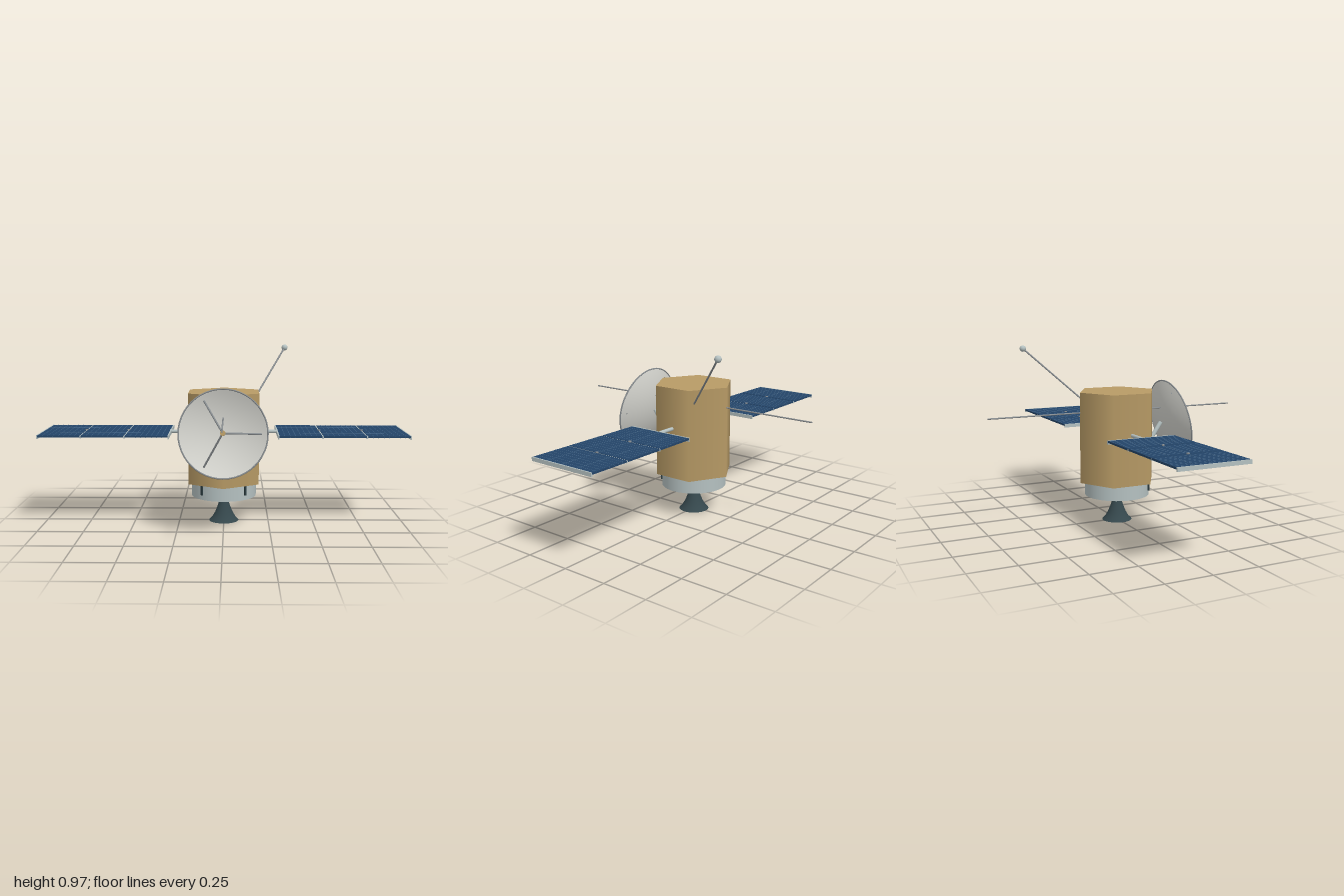
import * as THREE from 'three';

const mat = (color, extra = {}) => new THREE.MeshStandardMaterial({ color, ...extra });
const GOLD = mat(0xb89b66);
const SILVER = mat(0xb4c0c0);
const GREY = mat(0x8a8f92);
const DISH = mat(0xd2d2cc, { side: THREE.DoubleSide });
const DARK = mat(0x35474c, { side: THREE.DoubleSide });
const SLOT = mat(0x2a3a3e);
const BLUE = mat(0x234468);
const LINE = mat(0x46688a);

function add(parent, name, geometry, material, x = 0, y = 0, z = 0) {
  const mesh = new THREE.Mesh(geometry, material);
  mesh.name = name;
  mesh.position.set(x, y, z);
  parent.add(mesh);
  return mesh;
}

// Round bar between two points
function rod(parent, name, a, b, radius, material, sides = 10) {
  const from = new THREE.Vector3(...a), to = new THREE.Vector3(...b);
  const dir = to.clone().sub(from);
  const mesh = add(parent, name, new THREE.CylinderGeometry(radius, radius, dir.length(), sides), material);
  mesh.position.copy(from).add(to).multiplyScalar(0.5);
  mesh.quaternion.setFromUnitVectors(new THREE.Vector3(0, 1, 0), dir.normalize());
  return mesh;
}

// Dish facing local +z, rim plane at z = 0
function makeDish() {
  const dish = new THREE.Group();
  dish.name = 'dishAntenna';
  const R = 0.23, depth = 0.056;
  const bowl = r => -depth * (1 - (r / R) ** 2);
  const profile = [];
  for (let i = 0; i <= 14; i++) profile.push(new THREE.Vector2(R * i / 14, bowl(R * i / 14)));
  add(dish, 'dishBowl', new THREE.LatheGeometry(profile, 48), DISH).rotation.x = Math.PI / 2;
  add(dish, 'dishRim', new THREE.TorusGeometry(R, 0.004, 8, 48), GREY);
  add(dish, 'dishHub', new THREE.SphereGeometry(0.01, 12, 8), GREY, 0, 0, -depth + 0.012);
  add(dish, 'feedHorn', new THREE.CylinderGeometry(0.014, 0.014, 0.032, 12), GOLD, 0, 0, 0.102)
    .rotation.x = Math.PI / 2;
  for (let i = 0; i < 3; i++) {
    const a = i * Math.PI * 2 / 3, r = 0.197;
    rod(dish, 'feedStrut', [r * Math.cos(a), r * Math.sin(a), bowl(r)], [0, 0, 0.098], 0.005, GREY, 8);
  }
  return dish;
}

// Solar wing extending along +x from the body
function makeWing() {
  const wing = new THREE.Group();
  wing.name = 'solarWing';
  const start = 0.295, pitch = 0.2345, width = 0.227, span = 0.39, y = 0.508;
  rod(wing, 'wingArm', [0.17, y, 0], [0.3, y, 0], 0.01, SILVER, 12);
  for (let p = 0; p < 3; p++) {
    const x = start + pitch * (p + 0.5);
    add(wing, 'solarPanel', new THREE.BoxGeometry(width, 0.01, span), BLUE, x, y, 0);
    // cell grid on both faces
    for (let i = 1; i < 8; i++)
      add(wing, 'cellLine', new THREE.BoxGeometry(0.002, 0.0112, span), LINE, x + width * (i / 8 - 0.5), y, 0);
    for (let j = 1; j < 4; j++)
      add(wing, 'cellLine', new THREE.BoxGeometry(width, 0.0112, 0.002), LINE, x, y, span * (j / 4 - 0.5));
  }
  // end frames and hinge bars between panels
  for (let i = 0; i < 4; i++) {
    const x = Math.min(start + pitch * i, 0.996);
    const edge = i === 0 || i === 3;
    add(wing, edge ? 'endFrame' : 'hingeBar',
      new THREE.BoxGeometry(edge ? 0.007 : 0.008, edge ? 0.02 : 0.012, span), SILVER, x, edge ? 0.504 : 0.505, 0);
    if (!edge) add(wing, 'hingeKnob', new THREE.CylinderGeometry(0.008, 0.008, 0.024, 10), GREY, x, 0.506, 0);
  }
  return wing;
}

export function createModel() {
  const model = new THREE.Group();
  model.name = 'spacecraft';

  // Hexagonal body and service ring
  add(model, 'body', new THREE.CylinderGeometry(0.222, 0.222, 0.5, 6), GOLD, 0, 0.48, 0);
  add(model, 'serviceRing', new THREE.CylinderGeometry(0.18, 0.18, 0.082, 40), SILVER, 0, 0.19, 0);
  for (const s of [-1, 1]) {
    add(model, 'ringSlot', new THREE.BoxGeometry(0.01, 0.055, 0.01), SLOT, s * 0.118, 0.203, 0.138)
      .rotation.y = s * Math.atan2(0.118, 0.138);
  }

  // Engine bell
  const bell = [[0.083, 0], [0.066, 0.018], [0.05, 0.045], [0.036, 0.08], [0.026, 0.11], [0.021, 0.132]]
    .map(p => new THREE.Vector2(...p));
  add(model, 'engineBell', new THREE.LatheGeometry(bell, 32), DARK);
  add(model, 'engineThroat', new THREE.CylinderGeometry(0.027, 0.021, 0.022, 24), GOLD, 0, 0.142, 0);

  // Dish, tilted slightly upward, on its mount
  const dish = makeDish();
  dish.position.set(0, 0.5475, 0.34);
  dish.rotation.x = -0.195;
  model.add(dish);
  rod(model, 'dishMount', [0, 0.43, 0.205], [0, 0.537, 0.279], 0.012, SILVER, 12);

  // Whip antennas fore and aft
  for (const s of [-1, 1])
    rod(model, 'whipAntenna', [0, 0.62, s * 0.2], [0, 0.62, s * 0.735], 0.004, GREY, 8);

  // Sensor boom with ball tip
  rod(model, 'sensorBoom', [0.16, 0.655, -0.122], [0.36, 0.953, -0.417], 0.005, GREY, 8);
  add(model, 'sensorBall', new THREE.SphereGeometry(0.018, 20, 14), SILVER, 0.36, 0.953, -0.417);

  // Solar wings on both sides
  const left = makeWing(), right = makeWing();
  right.rotation.y = Math.PI;
  left.name = 'leftSolarWing';
  right.name = 'rightSolarWing';
  model.add(left, right);

  return model;
}
